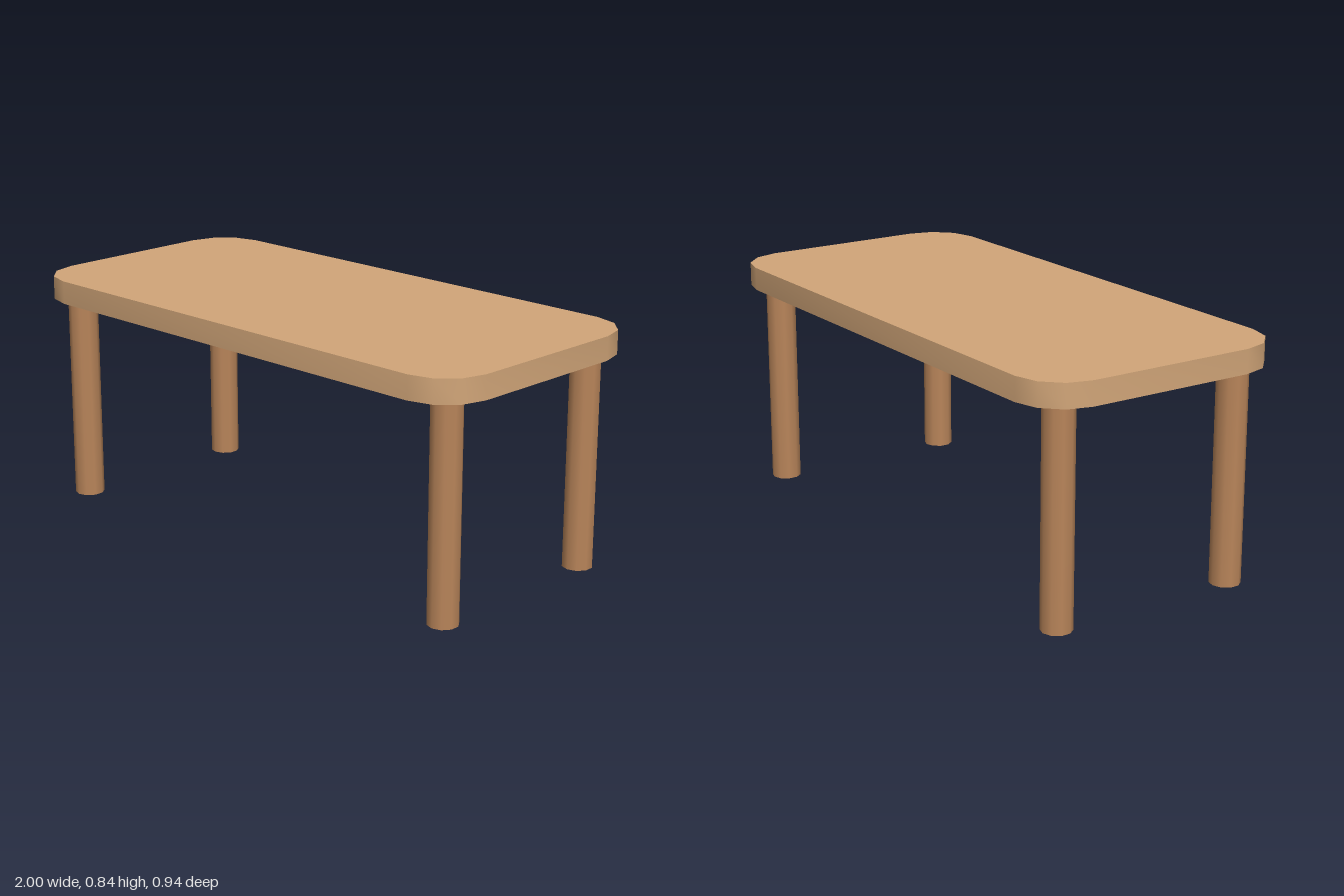
import * as THREE from 'three';
import { toCreasedNormals } from 'three/addons/utils/BufferGeometryUtils.js';

const HALF_X = 1, HALF_Z = 0.4725, CORNER = 0.17;
const LEG_HEIGHT = 0.757, TOP_HEIGHT = 0.84;

// Rounded rectangle with three straight facets per corner
function topOutline() {
  const points = [];
  const corners = [[1, 1], [-1, 1], [-1, -1], [1, -1]];
  corners.forEach(([sx, sy], quarter) => {
    for (let i = 0; i <= 3; i++) {
      const a = (quarter + i / 3) * Math.PI / 2;
      points.push(new THREE.Vector2(
        sx * (HALF_X - CORNER) + Math.cos(a) * CORNER,
        sy * (HALF_Z - CORNER) + Math.sin(a) * CORNER));
    }
  });
  return new THREE.Shape(points);
}

export function createModel() {
  const table = new THREE.Group();
  table.name = 'table';

  const lightWood = new THREE.MeshStandardMaterial({ color: 0xd2a679 });
  lightWood.name = 'lightWood';
  const darkWood = new THREE.MeshStandardMaterial({ color: 0xb9855a });
  darkWood.name = 'darkWood';

  // Table top: smooth around the rim, sharp at its upper and lower edges
  const slab = new THREE.ExtrudeGeometry(topOutline(), {
    depth: TOP_HEIGHT - LEG_HEIGHT, bevelEnabled: false,
  });
  slab.rotateX(-Math.PI / 2);
  const top = new THREE.Mesh(toCreasedNormals(slab, 0.7), lightWood);
  top.name = 'tableTop';
  top.position.y = LEG_HEIGHT;
  table.add(top);

  // Four round legs
  const legGeometry = new THREE.CylinderGeometry(0.0535, 0.0535, LEG_HEIGHT, 10);
  for (const sx of [-1, 1]) {
    for (const sz of [-1, 1]) {
      const leg = new THREE.Mesh(legGeometry, darkWood);
      leg.name = (sz > 0 ? 'front' : 'back') + (sx > 0 ? 'Left' : 'Right') + 'Leg';
      leg.position.set(sx * 0.882, LEG_HEIGHT / 2, sz * 0.3455);
      table.add(leg);
    }
  }
  return table;
}
